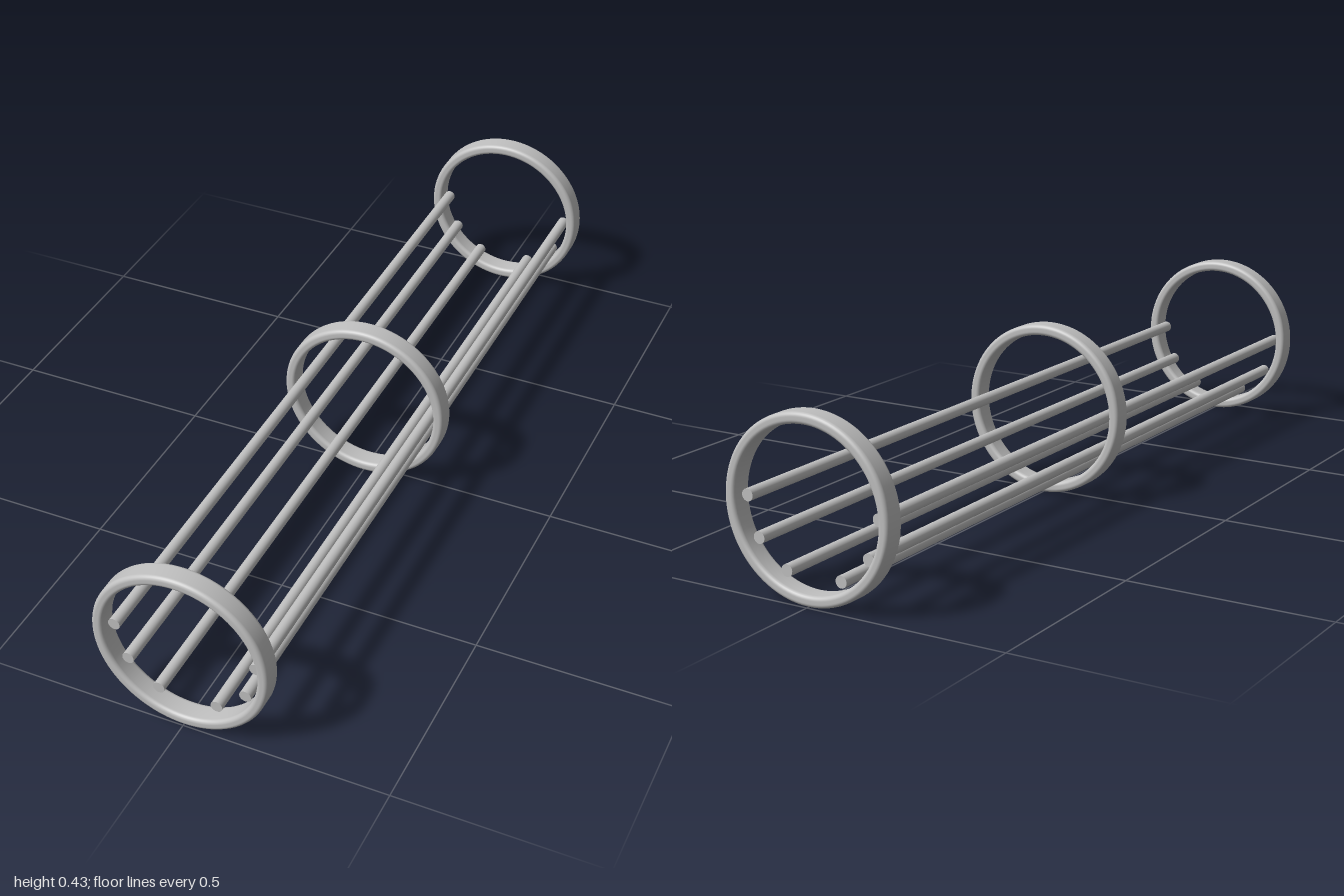
import * as THREE from 'three';

const RING_OUTER = 0.215, RING_INNER = 0.188, RING_WIDTH = 0.055;
const CENTER_Y = 0.215, END_Z = 1 - RING_WIDTH / 2;

// Closed rounded-rectangle section, counterclockwise, seam on the flat inner wall
function ringGeometry() {
  const r = 0.01, h = RING_WIDTH / 2, steps = 6;
  const corners = [
    [RING_INNER + r, -h + r, Math.PI],
    [RING_OUTER - r, -h + r, 1.5 * Math.PI],
    [RING_OUTER - r, h - r, 0],
    [RING_INNER + r, h - r, 0.5 * Math.PI],
  ];
  const profile = [new THREE.Vector2(RING_INNER, 0)];
  for (const [cx, cy, start] of corners) {
    for (let i = 0; i <= steps; i++) {
      const a = start + (i / steps) * Math.PI / 2;
      profile.push(new THREE.Vector2(cx + r * Math.cos(a), cy + r * Math.sin(a)));
    }
  }
  profile.push(new THREE.Vector2(RING_INNER, 0));
  return new THREE.LatheGeometry(profile, 96).rotateX(Math.PI / 2);
}

export function createModel() {
  const model = new THREE.Group();
  model.name = 'ringRack';
  const metal = new THREE.MeshStandardMaterial({ color: 0xc0c0c0 });
  metal.name = 'lightGreyMetal';

  // Three support rings along the length
  const ringGeo = ringGeometry();
  for (const [name, z] of [['frontRing', END_Z], ['middleRing', 0], ['backRing', -END_Z]]) {
    const ring = new THREE.Mesh(ringGeo, metal);
    ring.name = name;
    ring.position.set(0, CENTER_Y, z);
    model.add(ring);
  }

  // Mirrored rods cradled in the lower half of the rings
  const rodGeo = new THREE.CylinderGeometry(0.0145, 0.0145, 2 * END_Z, 32).rotateX(Math.PI / 2);
  for (const [name, x, y] of [['UpperRod', 0.173, 0.217], ['MiddleRod', 0.145, 0.125], ['LowerRod', 0.072, 0.063]]) {
    for (const side of [1, -1]) {
      const rod = new THREE.Mesh(rodGeo, metal);
      rod.name = (side > 0 ? 'left' : 'right') + name;
      rod.position.set(side * x, y, 0);
      model.add(rod);
    }
  }
  return model;
}
